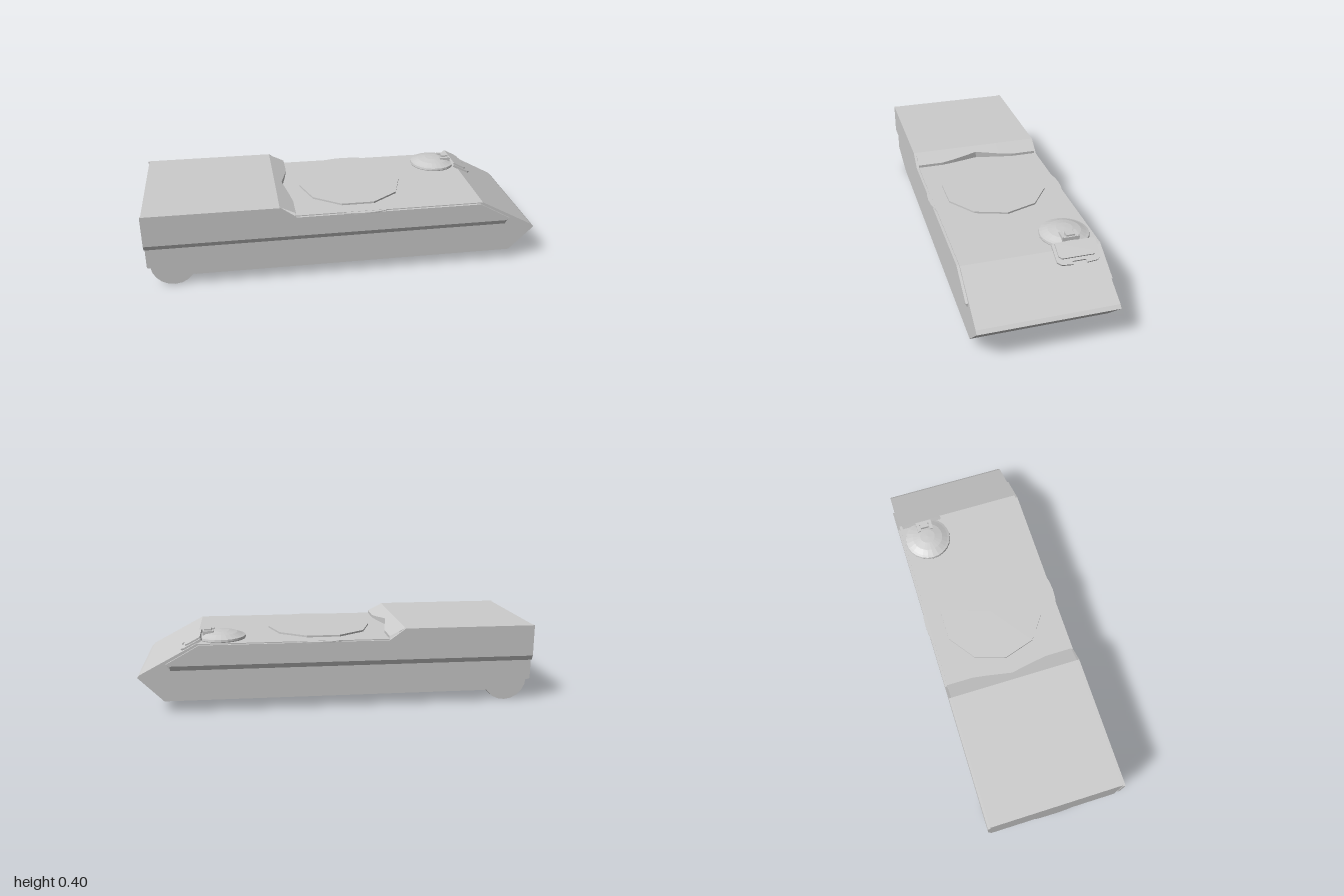
import * as THREE from 'three';

const DECK = 0.347;
const grey = () => new THREE.MeshStandardMaterial({ color: 0xcccccc, flatShading: true, side: THREE.DoubleSide });

function shapeOf(points) {
  return new THREE.Shape(points.map(([x, y]) => new THREE.Vector2(x, y)));
}

// Extrudes a side profile (x, y) between two z values.
function slab(points, z0, z1) {
  const g = new THREE.ExtrudeGeometry(shapeOf(points), { depth: z1 - z0, bevelEnabled: false });
  return g.translate(0, 0, z0);
}

export function createModel() {
  const model = new THREE.Group();
  const add = (name, geometry, parent = model) => {
    const mesh = new THREE.Mesh(geometry, grey());
    mesh.name = name;
    parent.add(mesh);
    return mesh;
  };

  // Main hull with raised rear block and wedge nose
  add('hull', slab([
    [-0.995, 0.115], [-0.76, 0.06], [0.875, 0.06], [1, 0.185], [0.985, 0.2],
    [0.71, DECK], [-0.33, DECK], [-0.33, 0.4], [-0.995, 0.4],
  ], -0.335, 0.335));

  // Sloping step to the deck, its lower edge curving back at the centre
  const edge = [[-0.335, -0.25], [-0.2, -0.25], [-0.13, -0.262], [0, -0.29],
    [0.13, -0.262], [0.2, -0.25], [0.335, -0.25]];
  const pos = [], idx = [];
  edge.forEach(([z, x], i) => {
    const y = 0.4 - (x + 0.33) * 0.49;
    pos.push(-0.33, 0.4, z, x, y, z, x, DECK, z);
    if (i) {
      for (let k = 0; k < 2; k++) {
        const a = (i - 1) * 3 + k, b = i * 3 + k;
        idx.push(a, b, b + 1, a, b + 1, a + 1);
      }
    }
  });
  const step = new THREE.BufferGeometry();
  step.setAttribute('position', new THREE.Float32BufferAttribute(pos, 3));
  step.setIndex(idx);
  step.computeVertexNormals();
  add('deckStep', step);

  // Side armour panels: bottom edge bevelled inwards
  for (const s of [-1, 1]) {
    const panel = slab([
      [-1, 0.215], [0.84, 0.215], [0.86, 0.25], [0.695, 0.342], [-0.25, 0.342],
      [-0.33, 0.4], [-1, 0.4],
    ], 0, 0.012);
    const p = panel.attributes.position;
    for (let i = 0; i < p.count; i++) {
      const outer = p.getZ(i) > 0.006;
      if (outer && p.getY(i) < 0.22) p.setY(i, 0.24);
      p.setZ(i, s * (0.335 + p.getZ(i)));
    }
    if (s < 0) {
      // Restore face winding after mirroring
      for (let i = 0; i < p.count; i += 3) {
        const a = new THREE.Vector3().fromBufferAttribute(p, i + 1);
        const b = new THREE.Vector3().fromBufferAttribute(p, i + 2);
        p.setXYZ(i + 1, b.x, b.y, b.z);
        p.setXYZ(i + 2, a.x, a.y, a.z);
      }
    }
    panel.computeVertexNormals();
    add(s > 0 ? 'leftSidePanel' : 'rightSidePanel', panel);
  }

  // Turret ring: wide disc showing only past the hull sides, and the deck plate
  add('turretRing', new THREE.CylinderGeometry(0.355, 0.355, 0.007, 48).translate(0.1, 0.3425, 0));
  add('turretPlate', new THREE.CylinderGeometry(0.27, 0.27, 0.01, 10)
    .rotateY(Math.PI / 2).translate(0.075, DECK + 0.004, 0));

  // Rear rollers, half sunk into the hull
  for (const s of [-1, 1]) {
    add(s > 0 ? 'leftRoller' : 'rightRoller', new THREE.CylinderGeometry(0.113, 0.113, 0.056, 20)
      .rotateX(Math.PI / 2).translate(-0.868, 0.114, s * 0.29));
  }
  add('sternFairing', new THREE.CylinderGeometry(0.1, 0.1, 0.2, 14)
    .rotateZ(Math.PI / 2).scale(1, 0.45, 1).translate(-0.895, 0.114, 0));

  // Hatch cupola on the right front of the deck
  const cupola = new THREE.Group();
  cupola.name = 'cupola';
  cupola.position.set(0.588, DECK, -0.205);
  model.add(cupola);
  const profile = [[0.118, -0.01], [0.122, 0.004], [0.12, 0.014], [0.108, 0.018],
    [0.08, 0.03], [0.04, 0.038], [0, 0.04]];
  add('cupolaDome', new THREE.LatheGeometry(profile.map(([r, y]) => new THREE.Vector2(r, y)), 24), cupola);

  // Raised hinge on the dome
  const box = (name, w, h, d, x, y, z) => add(name, new THREE.BoxGeometry(w, h, d).translate(x, y, z), cupola);
  box('hingeBar', 0.016, 0.02, 0.085, 0.085, 0.032, 0);
  box('hingeBlock', 0.035, 0.02, 0.042, 0.068, 0.04, 0);
  for (const s of [-1, 1]) box('hingeArm', 0.05, 0.014, 0.016, 0.062, 0.036, s * 0.034);

  // Visor lying on the nose slope, notched at the front
  const visor = new THREE.Group();
  visor.name = 'visor';
  visor.position.set(0.7, 0.349, -0.213);
  visor.rotation.z = -Math.atan2(DECK - 0.2, 0.275);
  model.add(visor);
  const w = 0.108;
  const guard = shapeOf([
    [-0.02, -w], [0.075, -w], [0.092, -w + 0.02], [0.096, -0.034], [0.08, -0.034],
    [0.08, 0.034], [0.096, 0.034], [0.092, w - 0.02], [0.075, w], [-0.02, w],
  ]);
  const flat = (shape, h) => new THREE.ExtrudeGeometry(shape, { depth: h, bevelEnabled: false })
    .rotateX(-Math.PI / 2);
  add('visorGuard', flat(guard, 0.012), visor);
  add('visorBlock', flat(shapeOf([
    [-0.02, -0.094], [0.05, -0.094], [0.064, -0.08], [0.064, 0.08], [0.05, 0.094], [-0.02, 0.094],
  ]), 0.02), visor);

  return model;
}
